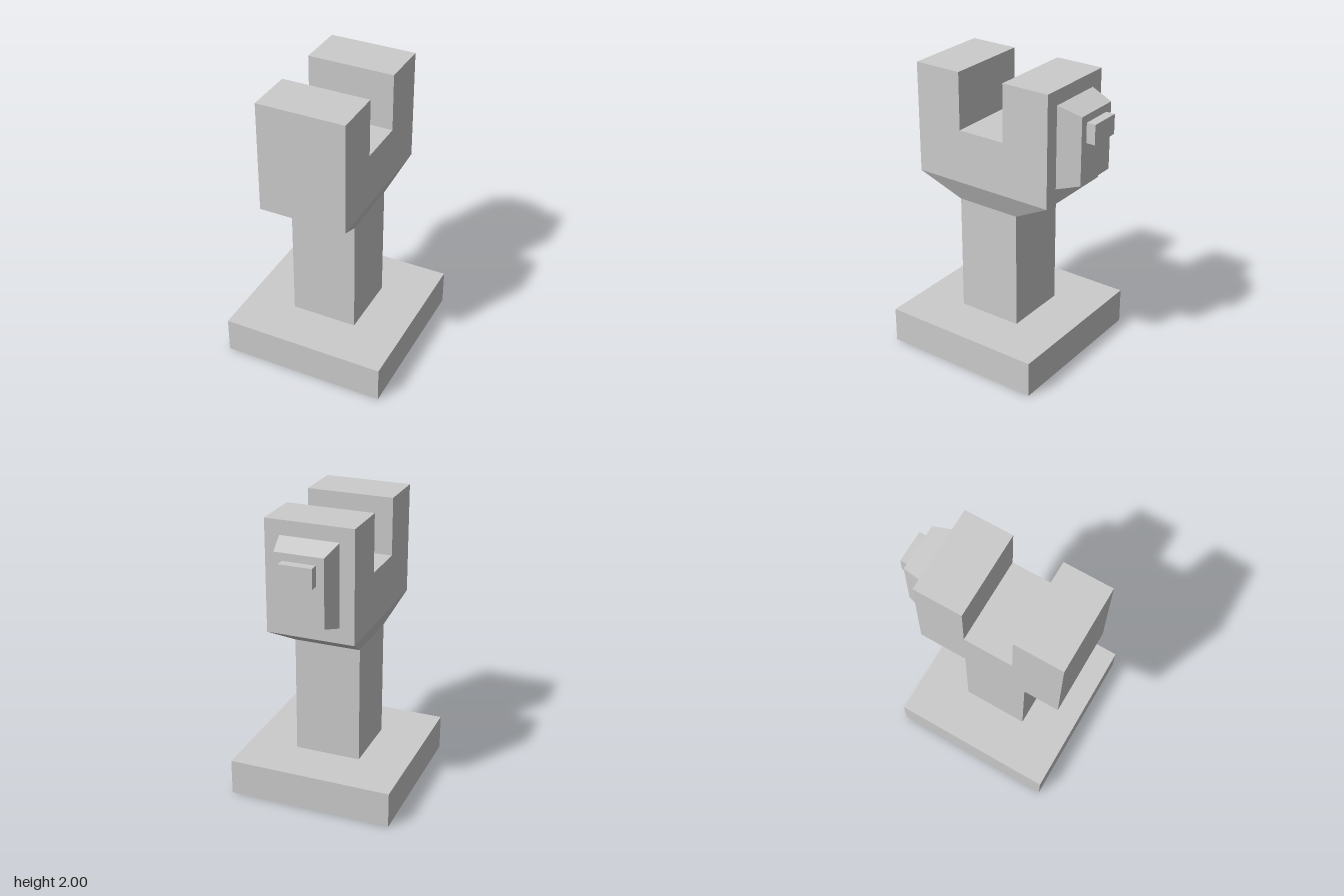
import * as THREE from 'three';

const material = new THREE.MeshStandardMaterial({ color: 0xcccccc, flatShading: true });

function part(name, geometry) {
  const mesh = new THREE.Mesh(geometry, material);
  mesh.name = name;
  return mesh;
}

// Box between two opposite corners
function block(name, [x0, y0, z0], [x1, y1, z1]) {
  const geometry = new THREE.BoxGeometry(x1 - x0, y1 - y0, z1 - z0);
  geometry.translate((x0 + x1) / 2, (y0 + y1) / 2, (z0 + z1) / 2);
  return part(name, geometry);
}

// Box whose corners are each placed by a rule taking the signs of x, y and z
function shapedBlock(name, rule) {
  const geometry = new THREE.BoxGeometry(2, 2, 2);
  const p = geometry.attributes.position;
  for (let i = 0; i < p.count; i++) p.setXYZ(i, ...rule(p.getX(i), p.getY(i), p.getZ(i)));
  geometry.computeVertexNormals();
  return part(name, geometry);
}

export function createModel() {
  const model = new THREE.Group();
  model.name = 'notchedPost';

  // Square foot and column
  model.add(block('base', [-0.57, 0, -0.49], [0.57, 0.25, 0.652]));
  model.add(block('column', [-0.23, 0.25, -0.145], [0.23, 1.073, 0.312]));

  // Flare from the column out to the head
  model.add(shapedBlock('flare', (x, y, z) => y > 0
    ? [x * 0.3, 1.235, z > 0 ? 0.592 : -0.43]
    : [x * 0.23, 1.073, z > 0 ? 0.312 : -0.145]));

  // U-shaped head: profile in z and y, extruded across x
  const profile = new THREE.Shape([
    [-0.43, 1.235], [0.592, 1.235], [0.592, 2], [0.252, 2],
    [0.252, 1.605], [-0.092, 1.605], [-0.092, 2], [-0.43, 2],
  ].map(([z, y]) => new THREE.Vector2(z, y)));
  const head = new THREE.ExtrudeGeometry(profile, { depth: 0.6, bevelEnabled: false });
  head.rotateY(-Math.PI / 2).translate(0.3, 0, 0);
  model.add(part('head', head));

  // Tapered plate on the back of the head, with its small knob
  model.add(shapedBlock('backPlate', (x, y, z) => z > 0
    ? [x * 0.2, 1.62 + y * 0.281, -0.43]
    : [x * 0.165, 1.62 + y * 0.23, -0.59]));
  model.add(block('knob', [-0.112, 1.664, -0.652], [0.112, 1.798, -0.59]));

  return model;
}
